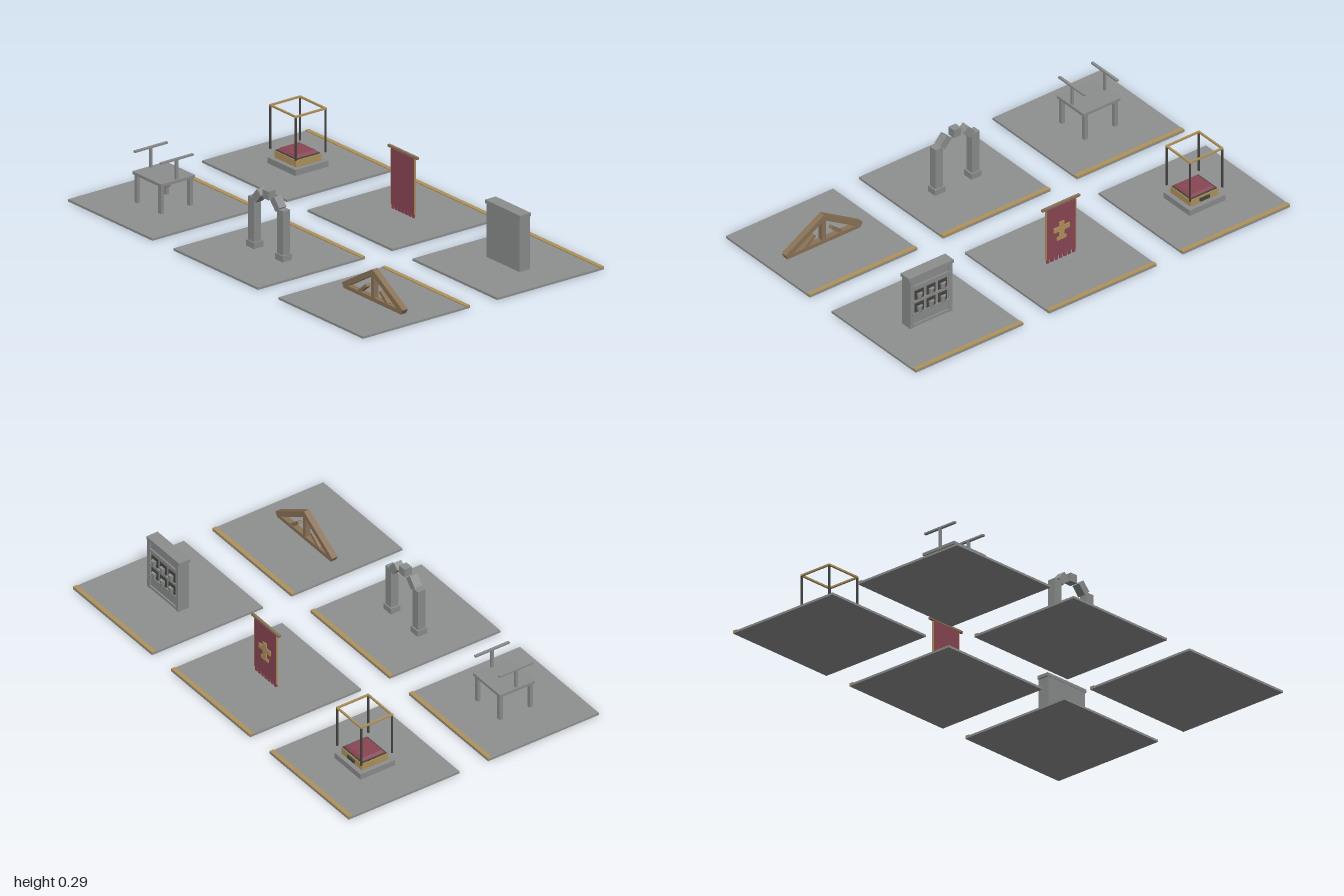
import * as THREE from 'three';

const mat = (name, color) => {
  const m = new THREE.MeshStandardMaterial({ color });
  m.name = name;
  return m;
};

export function createModel() {
  const stone = mat('grey stone', 0x8b8e8d);
  const floor = mat('floor grey', 0x8f9190);
  const wood = mat('brown wood', 0x8a7357);
  const gold = mat('dull gold', 0xb0935a);
  const red = mat('dark red cloth', 0x8a4654);
  const iron = mat('dark iron', 0x45443f);

  const model = new THREE.Group();
  model.name = 'displayTiles';

  const add = (parent, name, geo, m, x, y, z, rz = 0) => {
    const mesh = new THREE.Mesh(geo, m);
    mesh.name = name;
    mesh.position.set(x, y, z);
    mesh.rotation.z = rz;
    parent.add(mesh);
    return mesh;
  };
  // Box given by its centre in x and z, and by bottom and top in y
  const block = (p, name, m, x, y0, y1, z, w, d) =>
    add(p, name, new THREE.BoxGeometry(w, y1 - y0, d), m, x, (y0 + y1) / 2, z);
  // Flat bar between two points in the xy plane
  const beam = (p, name, m, a, b, h, d, z = 0) =>
    add(p, name, new THREE.BoxGeometry(Math.hypot(b[0] - a[0], b[1] - a[1]), h, d), m,
      (a[0] + b[0]) / 2, (a[1] + b[1]) / 2, z, Math.atan2(b[1] - a[1], b[0] - a[0]));

  // A floor tile with a gold strip along its back edge
  const T = 0.01;
  const tile = (name, x, z) => {
    const g = new THREE.Group();
    g.name = name;
    g.position.set(x, 0, z);
    block(g, 'floorTile', floor, 0, 0, T, 0, 0.572, 0.568);
    block(g, 'edgeStrip', gold, 0, 0.004, 0.014, -0.274, 0.572, 0.02);
    model.add(g);
    return g;
  };

  // Display plinth with cushion and open cage
  const plinth = tile('displayPlinth', -0.713, -0.357);
  block(plinth, 'plinthBase', stone, 0, T, 0.037, 0, 0.19, 0.176);
  block(plinth, 'plinthBody', gold, 0, 0.037, 0.068, 0, 0.148, 0.134);
  block(plinth, 'plinthTrim', iron, 0, 0.068, 0.072, 0, 0.14, 0.126);
  const cushion = new THREE.CylinderGeometry(0.078, 0.09, 0.011, 4).rotateY(Math.PI / 4).toNonIndexed();
  cushion.computeVertexNormals();
  add(plinth, 'cushion', cushion, red, 0, 0.0775, 0).scale.z = 0.9;
  block(plinth, 'namePlate', iron, 0, 0.045, 0.06, -0.07, 0.05, 0.006);
  for (const s of [-1, 1]) {
    block(plinth, 'cageBarX', gold, 0, 0.267, 0.275, s * 0.079, 0.18, 0.008);
    block(plinth, 'cageBarZ', gold, s * 0.086, 0.267, 0.275, 0, 0.008, 0.16);
    for (const t of [-1, 1])
      block(plinth, 'cagePost', iron, s * 0.086, 0.075, 0.267, t * 0.079, 0.007, 0.007);
  }

  // Hanging banner
  const banner = tile('banner', 0, -0.357);
  block(banner, 'bannerPole', wood, 0, 0.284, 0.294, 0, 0.2, 0.012);
  block(banner, 'cloth', red, 0, 0.033, 0.284, 0, 0.154, 0.008);
  for (const s of [-1, 1]) {
    block(banner, 'clothBorder', gold, s * 0.0785, 0.033, 0.28, 0, 0.003, 0.009);
  }
  for (let i = 0; i < 7; i++)
    block(banner, 'tassel', red, -0.069 + i * 0.023, 0.014, 0.034, 0, 0.014, 0.007);
  // Simple emblem on the back of the cloth
  const ez = -0.006;
  block(banner, 'emblemStem', gold, 0, 0.115, 0.2, ez, 0.026, 0.006);
  block(banner, 'emblemBar', gold, 0, 0.155, 0.178, ez, 0.084, 0.006);
  add(banner, 'emblemDiamond', new THREE.BoxGeometry(0.036, 0.036, 0.006), gold, 0, 0.165, ez, Math.PI / 4);
  block(banner, 'emblemFoot', gold, 0, 0.112, 0.127, ez, 0.05, 0.006);

  // Wall with niches on its back side
  const wall = tile('nicheWall', 0.71, -0.357);
  block(wall, 'wallSlab', stone, 0, T, 0.25, 0.004, 0.224, 0.05);
  block(wall, 'wallCap', stone, 0, 0.25, 0.265, 0.002, 0.238, 0.058);
  for (const s of [-1, 1]) block(wall, 'sidePier', stone, s * 0.102, T, 0.25, -0.023, 0.02, 0.008);
  for (const y of [0.014, 0.068, 0.132, 0.205])
    block(wall, 'wallRail', stone, 0, y, y + 0.012, -0.023, 0.2, 0.01);
  for (const y of [0.08, 0.144])
    for (const x of [-0.062, 0, 0.062]) {
      block(wall, 'nicheBack', iron, x, y, y + 0.045, -0.0225, 0.046, 0.004);
      add(wall, 'ornament', new THREE.CylinderGeometry(0.014, 0.01, 0.03, 8), stone, x, y + 0.015, -0.025);
    }

  // Table with two raised rails
  const table = tile('railTable', -0.713, 0.357);
  block(table, 'tableTop', stone, 0, 0.134, 0.147, 0, 0.196, 0.18);
  block(table, 'hangingBlock', wood, 0, 0.092, 0.112, 0, 0.056, 0.03);
  block(table, 'blockHanger', iron, 0, 0.112, 0.134, 0, 0.006, 0.006);
  for (const s of [-1, 1]) {
    block(table, 'railPost', stone, s * 0.087, 0.147, 0.234, 0, 0.01, 0.012);
    block(table, 'rail', stone, s * 0.087, 0.233, 0.241, 0, 0.012, 0.174);
    for (const t of [-1, 1])
      block(table, 'tableLeg', stone, s * 0.08, T, 0.134, t * 0.077, 0.018, 0.016);
  }

  // Arch of separate stones
  const arch = tile('stoneArch', 0, 0.357);
  for (const s of [-1, 1]) {
    block(arch, 'pillarBase', stone, s * 0.097, T, 0.038, 0, 0.054, 0.05);
    block(arch, 'pillar', stone, s * 0.098, 0.038, 0.235, 0, 0.04, 0.038);
    const a = Math.PI / 2 - s * 0.85;
    add(arch, 'archStone', new THREE.BoxGeometry(0.054, 0.036, 0.038), stone,
      Math.cos(a) * 0.083, 0.196 + Math.sin(a) * 0.083, 0, a - Math.PI / 2);
  }
  add(arch, 'keystone', new THREE.BoxGeometry(0.038, 0.038, 0.038), stone, 0, 0.274, 0);

  // Roof truss
  const truss = tile('roofTruss', 0.71, 0.357);
  block(truss, 'bottomChord', wood, 0, 0.013, 0.031, -0.004, 0.39, 0.026);
  block(truss, 'kingPost', wood, 0, 0.03, 0.14, -0.004, 0.02, 0.024);
  for (const s of [-1, 1]) {
    beam(truss, 'rafter', wood, [s * 0.2, 0.025], [s * -0.004, 0.146], 0.024, 0.028, -0.004);
    beam(truss, 'strut', wood, [s * 0.098, 0.027], [s * 0.045, 0.07], 0.014, 0.022, -0.004);
  }

  return model;
}
